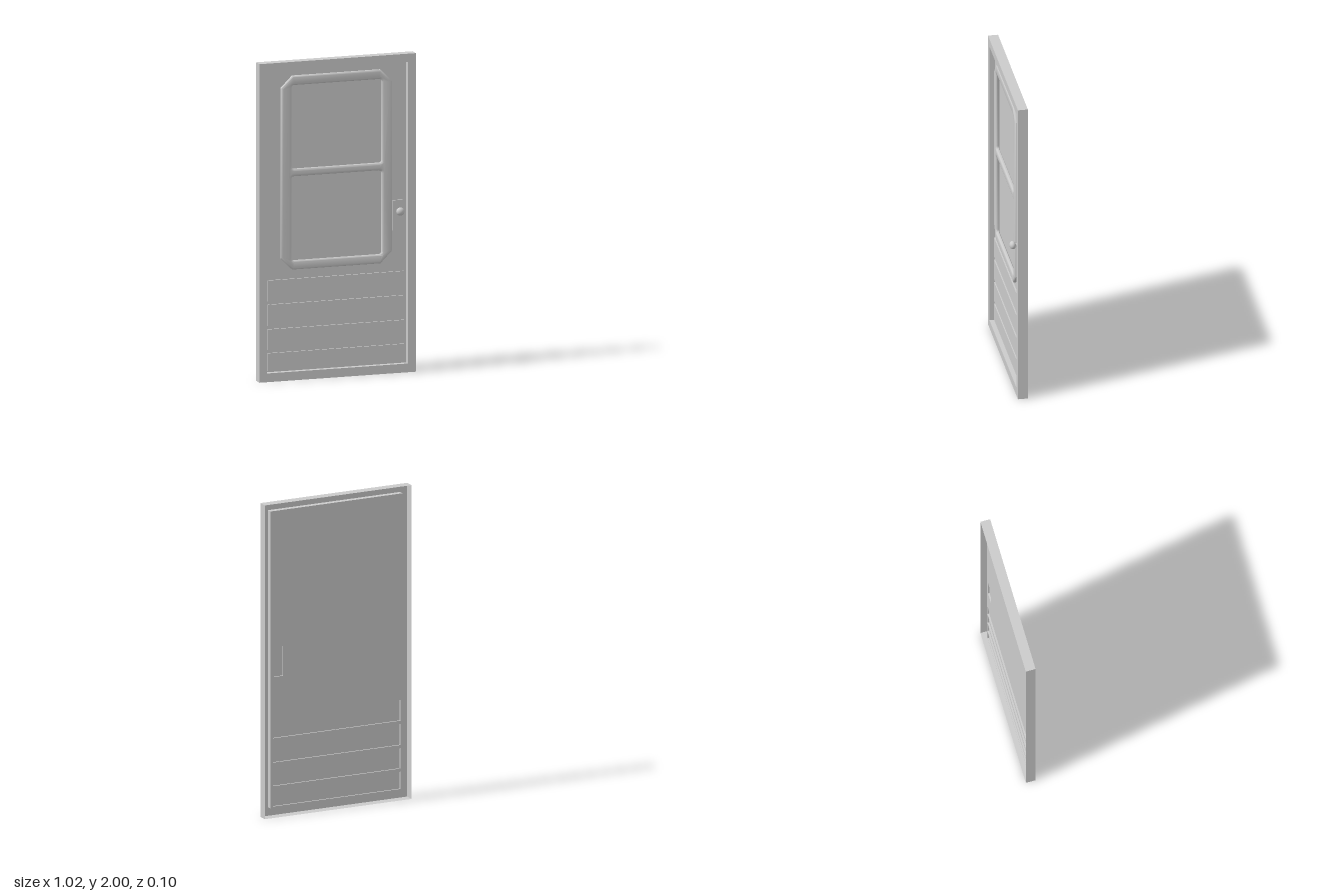
import * as THREE from 'three';
import { toCreasedNormals } from 'three/addons/utils/BufferGeometryUtils.js';

const BACK = -0.049, FRONT = 0.0135, PANEL = -0.022, RAISED = -0.012;
const material = new THREE.MeshStandardMaterial({ color: 0xcccccc, side: THREE.DoubleSide });

function add(group, name, geometry, z = 0) {
  const mesh = new THREE.Mesh(geometry, material);
  mesh.name = name;
  mesh.position.z = z;
  group.add(mesh);
  return mesh;
}

// closed rectangle, with corners cut (chamfer) or rounded
function rect(Type, [x0, x1, y0, y1], c = 0, rounded = false) {
  const p = new Type();
  const corner = (cx, cy, x, y) => (rounded ? p.quadraticCurveTo(cx, cy, x, y) : p.lineTo(x, y));
  p.moveTo(x0 + c, y0);
  p.lineTo(x1 - c, y0);
  if (c) corner(x1, y0, x1, y0 + c);
  p.lineTo(x1, y1 - c);
  if (c) corner(x1, y1, x1 - c, y1);
  p.lineTo(x0 + c, y1);
  if (c) corner(x0, y1, x0, y1 - c);
  p.lineTo(x0, y0 + c);
  if (c) corner(x0, y0, x0 + c, y0);
  return p;
}

// box without its back, and without its front too when open
function shell([x0, x1, y0, y1], z0, z1, open = false) {
  const g = new THREE.BoxGeometry(x1 - x0, y1 - y0, z1 - z0);
  g.setIndex(Array.from(g.index.array).slice(0, open ? 24 : 30));
  g.clearGroups();
  return g.translate((x0 + x1) / 2, (y0 + y1) / 2, (z0 + z1) / 2);
}

export function createModel() {
  const door = new THREE.Group();
  door.name = 'door';

  // hollow frame, open at the back
  const outer = [-0.51, 0.51, 0, 2], inner = [-0.46, 0.458, 0.055, 1.948];
  const ring = rect(THREE.Shape, outer);
  ring.holes.push(rect(THREE.Path, inner));
  const frame = new THREE.Group();
  frame.name = 'frame';
  door.add(frame);
  add(frame, 'frameFace', new THREE.ShapeGeometry(ring), FRONT);
  add(frame, 'frameOuterWalls', shell(outer, BACK, FRONT, true));
  add(frame, 'frameInnerWalls', shell(inner, PANEL, FRONT, true));

  // thin door panel with planks and lock plate pressed forward out of it
  const planks = [[0.065, 0.175], [0.195, 0.325], [0.345, 0.48], [0.5, 0.632]]
    .map(([y0, y1]) => [-0.446, 0.442, y0, y1]);
  const plate = [0.37, 0.435, 0.89, 1.08];
  const sheet = rect(THREE.Shape, inner);
  [...planks, plate].forEach((r) => sheet.holes.push(rect(THREE.Path, r)));
  add(door, 'panel', new THREE.ShapeGeometry(sheet), PANEL);
  planks.forEach((r, i) => add(door, `plank${i + 1}`, shell(r, PANEL, RAISED)));
  add(door, 'lockPlate', shell(plate, PANEL, RAISED));

  // rounded window moulding with two panes
  const moulding = rect(THREE.Shape, [-0.365, 0.36, 0.692, 1.91], 0.075);
  for (const [y0, y1] of [[0.75, 1.277], [1.325, 1.85]]) {
    moulding.holes.push(rect(THREE.Path, [-0.296, 0.293, y0, y1], 0.018, true));
  }
  const mouldingGeometry = new THREE.ExtrudeGeometry(moulding, {
    depth: 0.004, bevelThickness: 0.011, bevelSize: 0.015, bevelOffset: -0.015,
    bevelSegments: 5, curveSegments: 4,
  });
  add(door, 'windowMoulding', toCreasedNormals(mouldingGeometry, 0.7), PANEL + 0.0115);

  // flattened round knob on a short neck
  const profile = [[0.011, RAISED], [0.011, 0.009]];
  for (let i = 0; i <= 12; i++) {
    const a = -1.1 + (i / 12) * (Math.PI / 2 + 1.1);
    profile.push([0.026 * Math.cos(a), 0.027 + 0.02 * Math.sin(a)]);
  }
  const knob = add(door, 'knob', new THREE.LatheGeometry(
    profile.map(([r, h]) => new THREE.Vector2(Math.max(r, 0), h)), 24));
  knob.rotation.x = Math.PI / 2;
  knob.position.set(0.404, 1.015, 0);
  return door;
}
